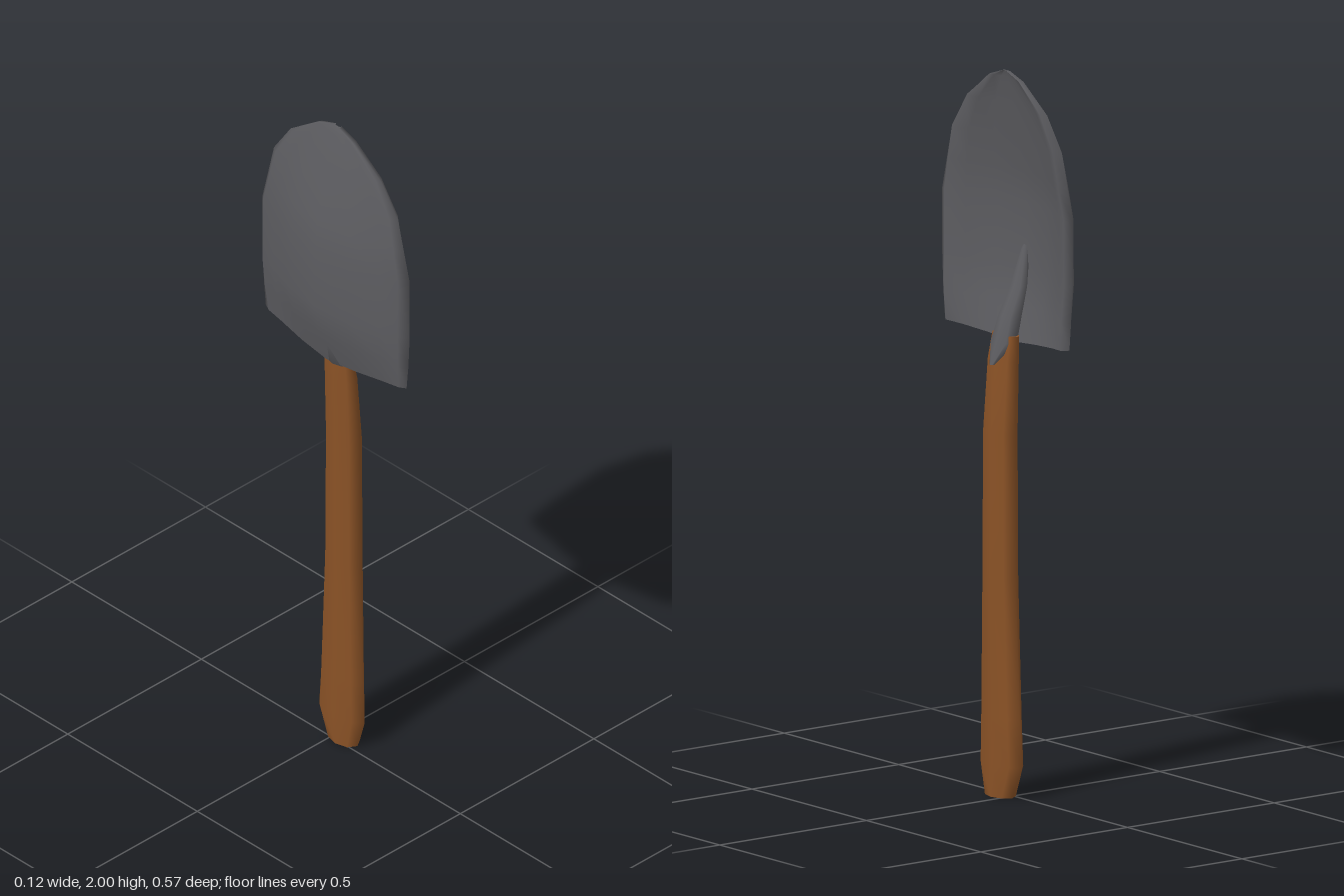
import * as THREE from 'three';

// Skins a stack of rings (bottom to top) and closes both ends with flat caps.
function loft(rings) {
  const n = rings[0].length;
  const pos = rings.flat(2);
  const idx = [];
  for (let i = 0; i < rings.length - 1; i++) {
    for (let j = 0; j < n; j++) {
      const k = (j + 1) % n;
      const a = i * n + j, b = i * n + k, c = (i + 1) * n + k, d = (i + 1) * n + j;
      idx.push(a, d, c, a, c, b);
    }
  }
  [rings[0], rings[rings.length - 1]].forEach((ring, end) => {
    const o = pos.length / 3;
    pos.push(...ring.flat());
    for (let i = 0; i < n / 2; i++) {
      const a = o + i, b = o + i + 1, c = o + n - i - 1, d = o + (n - i) % n;
      const tris = [[a, b, c], [a, c, d]].filter(t => new Set(t).size === 3);
      for (const [p, q, r] of tris) end ? idx.push(p, r, q) : idx.push(p, q, r);
    }
  });
  const g = new THREE.BufferGeometry();
  g.setAttribute('position', new THREE.Float32BufferAttribute(pos, 3));
  g.setIndex(idx);
  g.computeVertexNormals();
  return g;
}

// Elliptical ring: height, centre x/z, radii x/z
function ellipse([y, cx, cz, rx, rz], sides = 8) {
  return Array.from({ length: sides }, (_, i) => {
    const a = (i / sides) * Math.PI * 2;
    return [cx + rx * Math.cos(a), y, cz + rz * Math.sin(a)];
  });
}

// Dished blade ring: thin crescent with a raised lip near each edge.
// Columns: position across the half width, dish depth, thickness
const SECTION = [[1, 0, 0], [0.92, 0.28, 0.034], [0.72, 0.45, 0.02], [0.38, 0.82, 0.016], [0, 1, 0.015]];
function bladeRing([y, halfWidth, depth], row) {
  const half = SECTION.map(([s, p, t]) => [-s, p, t]);
  const across = [...half, ...SECTION.slice(0, -1).reverse()];
  const point = ([s, p, t], inner) => [
    0.02 - 0.083 * depth * p + (inner ? t * Math.min(1, 0.3 + depth) : 0),
    y + (row === 0 ? 0.025 * Math.abs(s) : 0),
    s * halfWidth,
  ];
  const inner = across.map(c => point(c, true));
  const outer = across.slice(1, -1).reverse().map(c => point(c, false));
  return [...inner, ...outer];
}

export function createModel() {
  const group = new THREE.Group();
  const steel = new THREE.MeshStandardMaterial({ color: 0x5c5c60 });
  const wood = new THREE.MeshStandardMaterial({ color: 0x8a5226 });
  const add = (name, rings, material) => {
    const mesh = new THREE.Mesh(loft(rings), material);
    mesh.name = name;
    group.add(mesh);
  };

  // Flattened wooden handle with a flared, chamfered butt
  add('handle', [
    [0, 0.02, 0.03, 0.034, 0.052],
    [0.09, 0.02, 0.023, 0.035, 0.087],
    [0.22, 0.02, 0.025, 0.035, 0.08],
    [0.6, 0.02, 0.03, 0.035, 0.066],
    [1.0, 0.02, 0.03, 0.034, 0.063],
    [1.2, 0.013, 0.026, 0.028, 0.06],
    [1.27, 0.008, 0.022, 0.022, 0.055],
  ].map(r => ellipse(r)), wood);

  // Blade rows: height, half width, dish depth
  add('blade', [
    [1.25, 0.272, 0.42],
    [1.35, 0.279, 0.76],
    [1.45, 0.284, 1],
    [1.63, 0.284, 0.97],
    [1.72, 0.262, 0.83],
    [1.81, 0.24, 0.6],
    [1.905, 0.175, 0.34],
    [1.98, 0.072, 0.1],
    [2.0, 0.012, 0],
  ].map(bladeRing), steel);

  // Socket tongue that hooks over the handle and fades into the dish
  add('socket', [
    [1.19, 0.053, 0.024, 0.006, 0.008],
    [1.25, 0.012, 0.022, 0.03, 0.046],
    [1.32, -0.005, 0.018, 0.028, 0.038],
    [1.4, -0.033, 0.013, 0.02, 0.03],
    [1.52, -0.054, 0.01, 0.006, 0.01],
  ].map(r => ellipse(r)), steel);

  return group;
}
